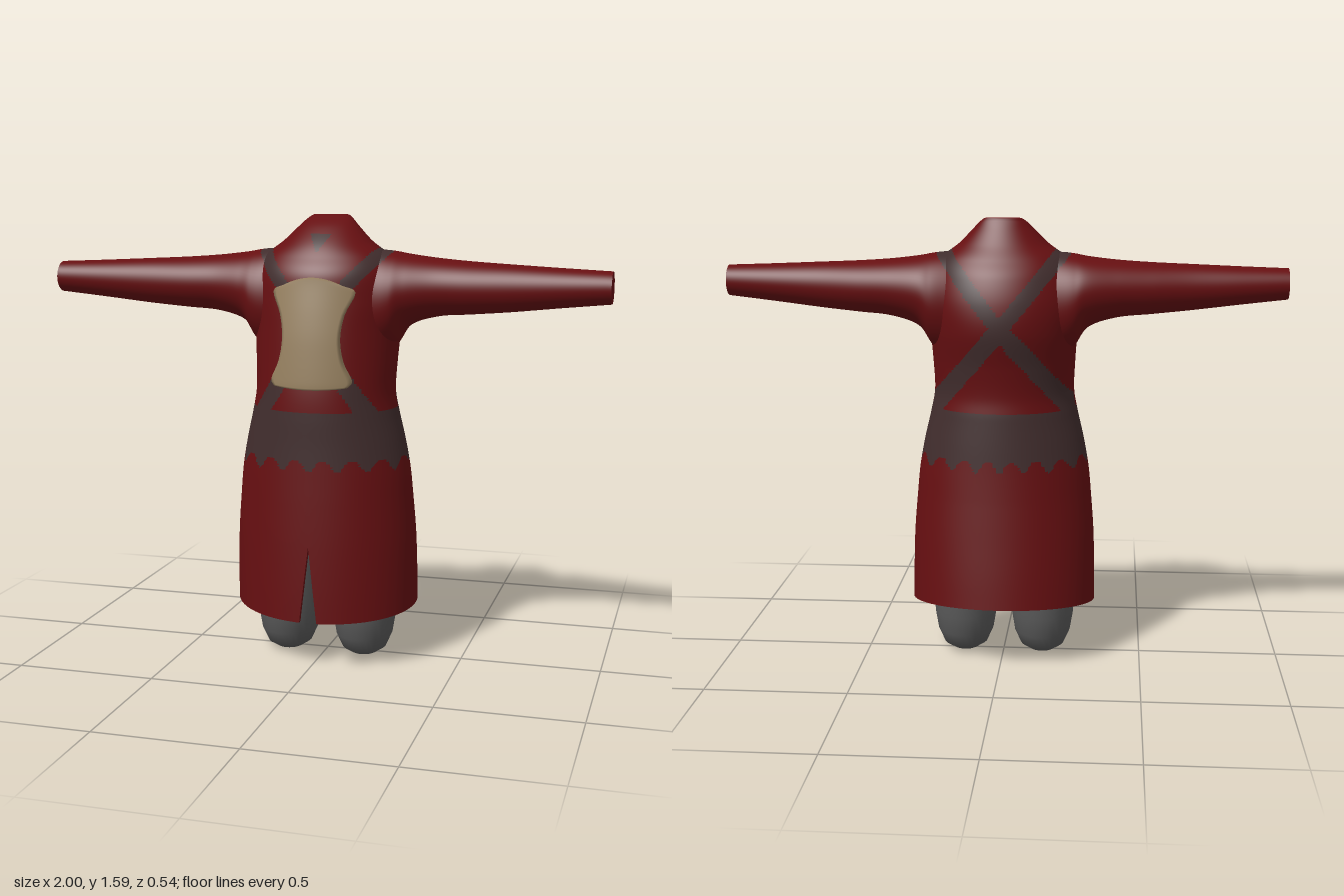
import * as THREE from 'three';
import { mergeVertices } from 'three/addons/utils/BufferGeometryUtils.js';

const mat = (name, color) => Object.assign(new THREE.MeshStandardMaterial({ color }), { name });

// Smooth track through rows of numbers; parameter runs 0..rows-1
function track(rows) {
  const curve = (a, b, c) => new THREE.CatmullRomCurve3(
    rows.map(r => new THREE.Vector3(r[a], r[b], r[c] ?? 0)), false, 'catmullrom', 0.5);
  const p = curve(0, 1, 2), q = curve(3, 4, 5), n = rows.length - 1;
  return v => {
    const t = THREE.MathUtils.clamp(v / n, 0, 1), A = p.getPoint(t), B = q.getPoint(t);
    return [A.x, A.y, A.z, B.x, B.y];
  };
}

// Surface over u, v in 0..1; pick(x, y, z) chooses the material of each triangle
function surface(name, fn, nu, nv, materials, pick) {
  const pos = [], lists = materials.map(() => []);
  for (let j = 0; j <= nv; j++) for (let i = 0; i <= nu; i++) pos.push(...fn(i / nu, j / nv));
  const mid = (t, k) => (pos[t[0] * 3 + k] + pos[t[1] * 3 + k] + pos[t[2] * 3 + k]) / 3;
  for (let j = 0; j < nv; j++) for (let i = 0; i < nu; i++) {
    const a = j * (nu + 1) + i, b = a + 1, c = a + nu + 1, d = c + 1;
    for (const t of [[a, b, d], [a, d, c]])
      lists[pick ? pick(mid(t, 0), mid(t, 1), mid(t, 2)) : 0].push(...t);
  }
  let g = new THREE.BufferGeometry();
  g.setAttribute('position', new THREE.Float32BufferAttribute(pos, 3));
  g.setIndex(lists.flat());
  let start = 0;
  lists.forEach((l, k) => { g.addGroup(start, l.length, k); start += l.length; });
  g = mergeVertices(g, 1e-5);
  g.computeVertexNormals();
  const m = new THREE.Mesh(g, materials.length > 1 ? materials : materials[0]);
  m.name = name;
  return m;
}

// Robe sections: y, half width, front z, back z
const robe = track([
  [0.205, 0.332, 0.270, -0.270, 0], [0.32, 0.331, 0.267, -0.257, 0],
  [0.46, 0.327, 0.262, -0.240, 0], [0.60, 0.316, 0.256, -0.224, 0],
  [0.70, 0.306, 0.252, -0.214, 0], [0.80, 0.288, 0.249, -0.206, 0],
  [0.90, 0.265, 0.248, -0.198, 0], [0.98, 0.251, 0.245, -0.192, 0],
  [1.08, 0.254, 0.235, -0.204, 0], [1.20, 0.262, 0.224, -0.229, 0],
  [1.30, 0.270, 0.213, -0.224, 0], [1.39, 0.255, 0.201, -0.197, 0],
  [1.45, 0.225, 0.166, -0.160, 0], [1.50, 0.160, 0.125, -0.124, 0],
  [1.55, 0.110, 0.064, -0.092, 0], [1.58, 0.080, 0.010, -0.074, 0],
  [1.592, 0.055, -0.025, -0.066, 0], [1.58, 0, -0.045, -0.045, 0],
]);
const LAST = 17;

function robePoint(u, v, inset = 0) {
  const [y, w, f, b] = robe(v);
  const slit = 0.031 * THREE.MathUtils.clamp((0.46 - y) / 0.25, 0, 1);
  const hw = Math.max(0, w - inset), hd = Math.max(0, (f - b) / 2 - inset);
  const gap = hw > 0 ? Math.asin(Math.min(1, slit / hw)) : 0;
  const a = gap + u * (2 * Math.PI - 2 * gap);
  const z = (f + b) / 2 + hd * Math.cos(a);
  // the hem dips at the front
  const tilt = Math.max(0, 1 - (y - 0.205) / 0.4) * -0.11 * z;
  return [hw * Math.sin(a), y + tilt, z];
}

// 0 = cloth, 1 = leather belt, straps and neck opening
function paint(x, y, z) {
  const ax = Math.abs(x), near = (c, w) => Math.abs(ax - c) < w;
  if (ax > 0.3) return 0;
  const lower = 0.755 - 0.04 * Math.abs(Math.cos(8 * Math.atan2(x, z))) ** 3;
  if (y > lower && y < 0.925) return 1;
  if (z > 0) {
    if (y > 1.46 && y < 1.53 && ax < (y - 1.465) * 0.6) return 1;
    if (y > 1.3 && y < 1.5 && near(0.10 + (y - 1.34) * 0.87, 0.032)) return 1;
    if (y > 0.9 && y < 1.1 && near(0.10 + (1.05 - y) * 0.67, 0.036)) return 1;
  } else {
    if (y > 1.2 && y < 1.5 && near((y - 1.22) * 0.82, 0.034)) return 1;
    if (y > 0.9 && y <= 1.24 && near((1.22 - y) * 0.85, 0.042)) return 1;
  }
  return 0;
}

// Sleeve sections: x, top, bottom, front z, back z
const sleeve = track([
  [0.14, 1.470, 1.10, 0.135, -0.145], [0.20, 1.472, 1.11, 0.145, -0.155],
  [0.25, 1.467, 1.14, 0.142, -0.158], [0.30, 1.458, 1.21, 0.126, -0.148],
  [0.40, 1.446, 1.244, 0.110, -0.122], [0.52, 1.437, 1.255, 0.108, -0.094],
  [0.66, 1.430, 1.268, 0.107, -0.063], [0.83, 1.422, 1.287, 0.108, -0.036],
  [1.00, 1.415, 1.305, 0.110, -0.010],
]);

function sleevePoint(side, u, v, scale = 1) {
  const [x, t, b, f, k] = sleeve(v * 8), a = -side * u * 2 * Math.PI;
  return [side * x, (t + b) / 2 + scale * (t - b) / 2 * Math.sin(a),
    (f + k) / 2 + scale * (f - k) / 2 * Math.cos(a)];
}

// Chest plate sections: y, half width, z
const plate = track([
  [1.012, 0.130, 0.262, 0, 0], [1.035, 0.142, 0.261, 0, 0], [1.10, 0.113, 0.255, 0, 0],
  [1.18, 0.101, 0.246, 0, 0], [1.26, 0.114, 0.233, 0, 0], [1.335, 0.146, 0.218, 0, 0],
  [1.36, 0.100, 0.212, 0, 0],
]);

function platePoint(u, v) {
  const N = 26, i = Math.round(u * N), j = Math.round(v * N);
  const border = i === 0 || j === 0 || i === N || j === N;
  const s = THREE.MathUtils.clamp((i - 1) / (N - 2), 0, 1) * 2 - 1;
  const t = THREE.MathUtils.clamp((j - 1) / (N - 2), 0, 1);
  const [y, w, z] = plate(t * 6), x = s * w;
  // top edge bows up and bottom edge bows down
  const bow = (1 - s * s) * (0.025 * t ** 4 - 0.008 * (1 - t) ** 4);
  return [x, y + bow, z - 1.8 * x * x - (border ? 0.045 : 0)];
}

export function createModel() {
  const model = new THREE.Group();
  model.name = 'robedFigure';
  const red = mat('red cloth', 0x660f11);
  const leather = mat('dark leather', 0x412d2d);
  const tan = mat('tan hide', 0x96805f);
  const grey = mat('grey legwear', 0x5a5a5a);

  // Robe, painted belt and straps
  model.add(surface('robe', (u, v) => robePoint(u, v * LAST), 150, LAST * 11, [red, leather], paint));

  // Skirt lining, hem and slit edges
  const T = 0.018, H = 4;
  model.add(surface('skirtLining', (u, v) => robePoint(1 - u, v * H, T), 80, 24, [leather]));
  model.add(surface('hem', (u, v) => robePoint(u, 0, T * (1 - v)), 80, 1, [red]));
  for (const end of [0, 1])
    model.add(surface('slitEdge', (u, v) => robePoint(end, v * 2, T * (end ? u : 1 - u)), 1, 16, [red]));

  // Sleeves with closed cuffs
  for (const side of [1, -1]) {
    const arm = new THREE.Group();
    arm.name = side > 0 ? 'leftSleeve' : 'rightSleeve';
    arm.add(surface('sleeve', (u, v) => sleevePoint(side, u, v), 72, 88, [red, leather], paint));
    arm.add(surface('cuffEnd', (u, v) => sleevePoint(side, u, 1, 1 - v), 36, 1, [red]));
    model.add(arm);
  }

  // Chest plate
  model.add(surface('chestPlate', platePoint, 26, 26, [tan]));

  // Legs with rounded feet
  const profile = [[0, 0.003], [0.4, 0.008], [0.68, 0.03], [0.87, 0.08], [0.97, 0.15],
    [1, 0.24], [1, 0.4], [0.9, 0.7]].map(p => new THREE.Vector2(...p));
  for (const side of [1, -1]) {
    const leg = new THREE.Mesh(new THREE.LatheGeometry(profile, 28), grey);
    leg.name = side > 0 ? 'leftLeg' : 'rightLeg';
    leg.scale.set(0.117, 1, 0.135);
    leg.position.set(side * 0.142, 0, 0.012);
    model.add(leg);
  }
  return model;
}
